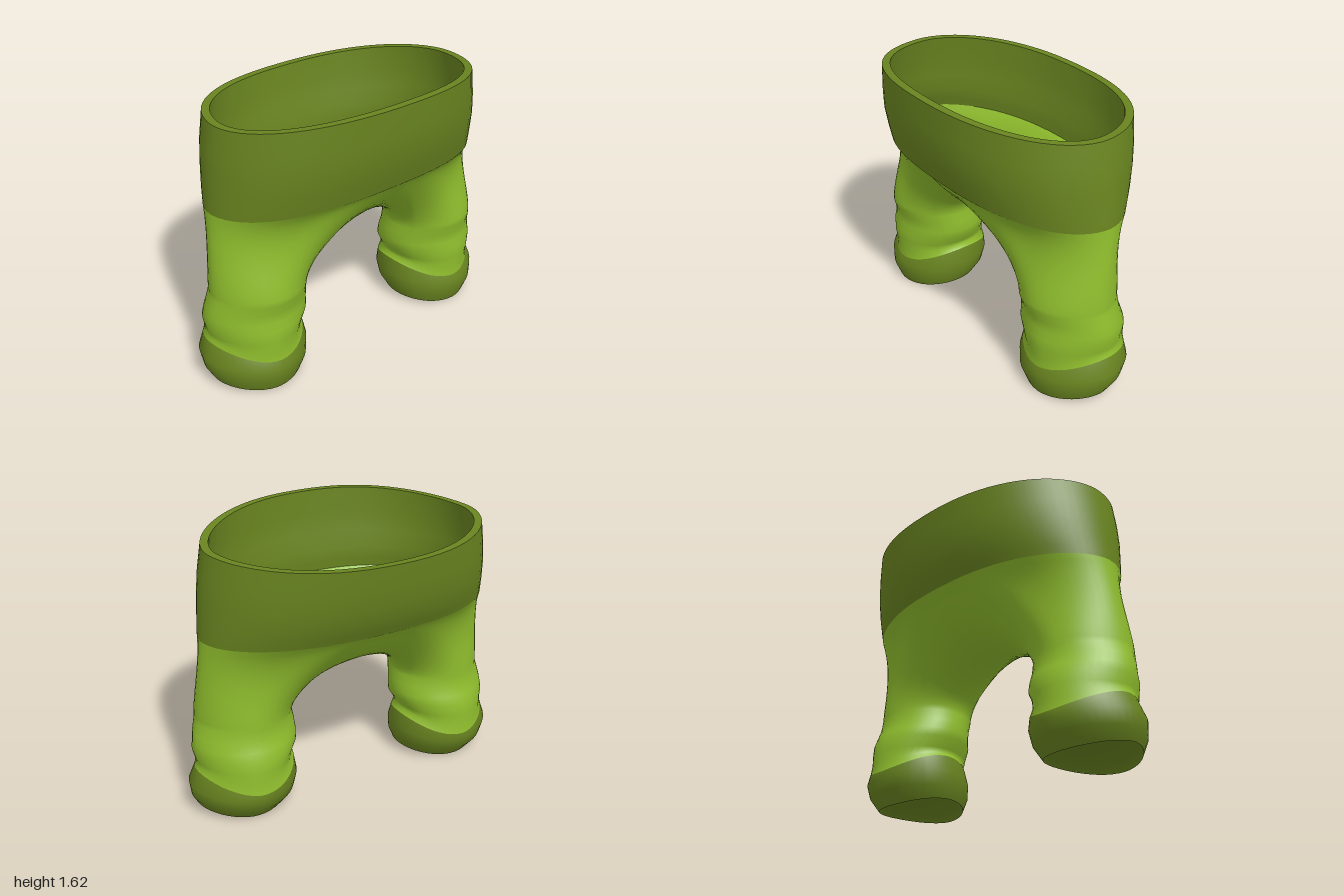
import * as THREE from 'three';

const OUT = 36, INN = 16; // points around the outer side and the crotch side of a leg
const lerp = THREE.MathUtils.lerp;
const V = (x, y, z) => new THREE.Vector3(x, y, z);

// Skin a list of closed rings (arrays of Vector3), top to bottom.
function loft(name, rings, material, flip = false) {
  const n = rings[0].length, pos = [], idx = [];
  rings.forEach(r => r.forEach(p => pos.push(p.x, p.y, p.z)));
  for (let i = 0; i < rings.length - 1; i++) {
    for (let j = 0; j < n; j++) {
      const k = (j + 1) % n;
      const a = i * n + j, b = i * n + k, c = a + n, d = b + n;
      if (flip) idx.push(a, b, c, b, d, c);
      else idx.push(a, c, b, b, c, d);
    }
  }
  const g = new THREE.BufferGeometry();
  g.setAttribute('position', new THREE.Float32BufferAttribute(pos, 3));
  g.setIndex(idx);
  g.computeVertexNormals();
  const mesh = new THREE.Mesh(g, material);
  mesh.name = name;
  return mesh;
}

const pw = (v, e) => Math.sign(v) * Math.abs(v) ** e;

// Waist outline; phi runs from the front round the left side to the back.
// Rows: height fraction, half width, front depth, back depth
const waistRows = [
  [1, 0.83, 0.555, 0.555], [0.7, 0.858, 0.55, 0.54], [0.46, 0.872, 0.54, 0.522],
  [0.25, 0.88, 0.515, 0.495], [0.1, 0.887, 0.493, 0.462], [0, 0.89, 0.478, 0.44],
];
function waistPoint(phi, [f, w, front, back], inset = 0) {
  const c = Math.cos(phi);
  const top = 1.545 + (c > 0 ? 0.075 : -0.035) * c * c;
  const bottom = 1.065 + (c > 0 ? 0.06 : 0.012) * Math.abs(c) ** 3;
  return V(pw(Math.sin(phi), 0.87) * (w - inset), lerp(bottom, top, f),
    pw(c, 1.08) * ((c > 0 ? front : back) - inset));
}
const waistRing = (row, inset) =>
  Array.from({ length: 72 }, (_, j) => waistPoint(j / 72 * Math.PI * 2, row, inset));

// Top ring of a leg: half of the waist plus the crotch saddle, with start tangents.
function hipRing() {
  const pts = [], tangents = [];
  for (let j = 0; j < OUT; j++) {
    const u = j / OUT, p = waistPoint(u * Math.PI, waistRows[5]);
    const k = THREE.MathUtils.smoothstep(Math.min(u, 1 - u), 0, 0.22);
    pts.push(p);
    tangents.push(V(lerp(0.5, 0.03, k), lerp(-0.1, -0.5, k), -p.z * lerp(0.4, 1.25, k)));
  }
  const back = waistPoint(Math.PI, waistRows[5]), front = waistPoint(0, waistRows[5]);
  for (let j = 0; j < INN; j++) {
    const s = j / INN * 2 - 1, e = s < 0 ? back : front;
    pts.push(V(0, lerp(0.785, e.y, s * s), Math.abs(s) * e.z));
    tangents.push(V(0.5, -0.1 * s * s, -0.19 * s * s * Math.sign(s)));
  }
  return { pts, tangents };
}

// Leg section, round inside and slightly pointed on the outer side:
// height, inner x, outer x, front z, back z, extra height at the sides
function legRing([y, xi, xo, zf, zb, lift = 0]) {
  const cx = (xi + xo) / 2, hw = (xo - xi) / 2, cz = (zf + zb) / 2, hz = (zf - zb) / 2;
  const open = 2.55; // angle where the crotch side begins
  return Array.from({ length: OUT + INN }, (_, j) => {
    const a = j < OUT ? open - 2 * open * j / OUT
      : -open - (2 * Math.PI - 2 * open) * (j - OUT) / INN;
    const c = Math.cos(a), e = c > 0 ? 1.12 : 1;
    return V(cx + pw(c, e) * hw, y + lift * c * c, cz + pw(Math.sin(a), e) * hz);
  });
}

const folds = [
  [0.56, 0.37, 0.93, 0.315, -0.222], [0.5, 0.36, 0.95, 0.293, -0.222],
  [0.44, 0.357, 0.96, 0.292, -0.245], [0.39, 0.362, 0.965, 0.305, -0.265],
  [0.32, 0.40, 0.95, 0.305, -0.272, 0.01], [0.25, 0.405, 0.95, 0.295, -0.27, 0.055],
  [0.187, 0.385, 0.96, 0.30, -0.28, 0.095],
];
const cuffRows = [
  folds[6], [0.145, 0.366, 0.998, 0.318, -0.284, 0.04],
  [0.08, 0.378, 0.985, 0.32, -0.262, 0.02], [0.002, 0.41, 0.95, 0.29, -0.195, 0.033],
];
const soleRows = [
  cuffRows[3], [0.045, 0.44, 0.92, 0.26, -0.17, 0.02], [0.075, 0.55, 0.8, 0.13, -0.06],
  [0.08, 0.67, 0.671, 0.041, 0.04],
];

export function createModel() {
  const mat = (name, color) =>
    new THREE.MeshStandardMaterial({ name, color, side: THREE.DoubleSide });
  const light = mat('light green cloth', 0x8fbd2d);
  const dark = mat('olive trim', 0x698420);
  const model = new THREE.Group();
  model.name = 'trousers';

  // Waistband: outer wall, flat rim and inner wall
  const t = 0.045;
  const waistband = new THREE.Group();
  waistband.name = 'waistband';
  waistband.add(
    loft('waistbandOuter', waistRows.map(r => waistRing(r, 0)), dark),
    loft('waistbandRim', [waistRing(waistRows[0], t), waistRing(waistRows[0], 0)], dark),
    loft('waistbandInner', waistRows.map(r => waistRing(r, t * Math.min(1, r[0] * 4))), dark, true),
  );
  model.add(waistband);

  // Leg cloth sweeps smoothly from the hip to the first fold
  const { pts, tangents } = hipRing();
  const knee = legRing(folds[0]);
  const cloth = [];
  for (let i = 0; i < 14; i++) {
    const s = i / 14, s2 = s * s, s3 = s2 * s;
    cloth.push(pts.map((p, j) => V(0, 0, 0)
      .addScaledVector(p, 2 * s3 - 3 * s2 + 1)
      .addScaledVector(tangents[j], s3 - 2 * s2 + s)
      .addScaledVector(knee[j], 3 * s2 - 2 * s3)
      .addScaledVector(V(0, -0.4, 0), s3 - s2)));
  }
  cloth.push(...folds.map(legRing));

  for (const side of [1, -1]) {
    const mirror = rings => rings.map(r => r.map(p => V(p.x * side, p.y, p.z)));
    const leg = new THREE.Group();
    leg.name = side > 0 ? 'leftLeg' : 'rightLeg';
    leg.add(
      loft('legCloth', mirror(cloth), light, side < 0),
      loft('cuff', mirror(cuffRows.map(legRing)), dark, side < 0),
      loft('sole', mirror(soleRows.map(legRing)), dark, side < 0),
    );
    model.add(leg);
  }
  return model;
}
